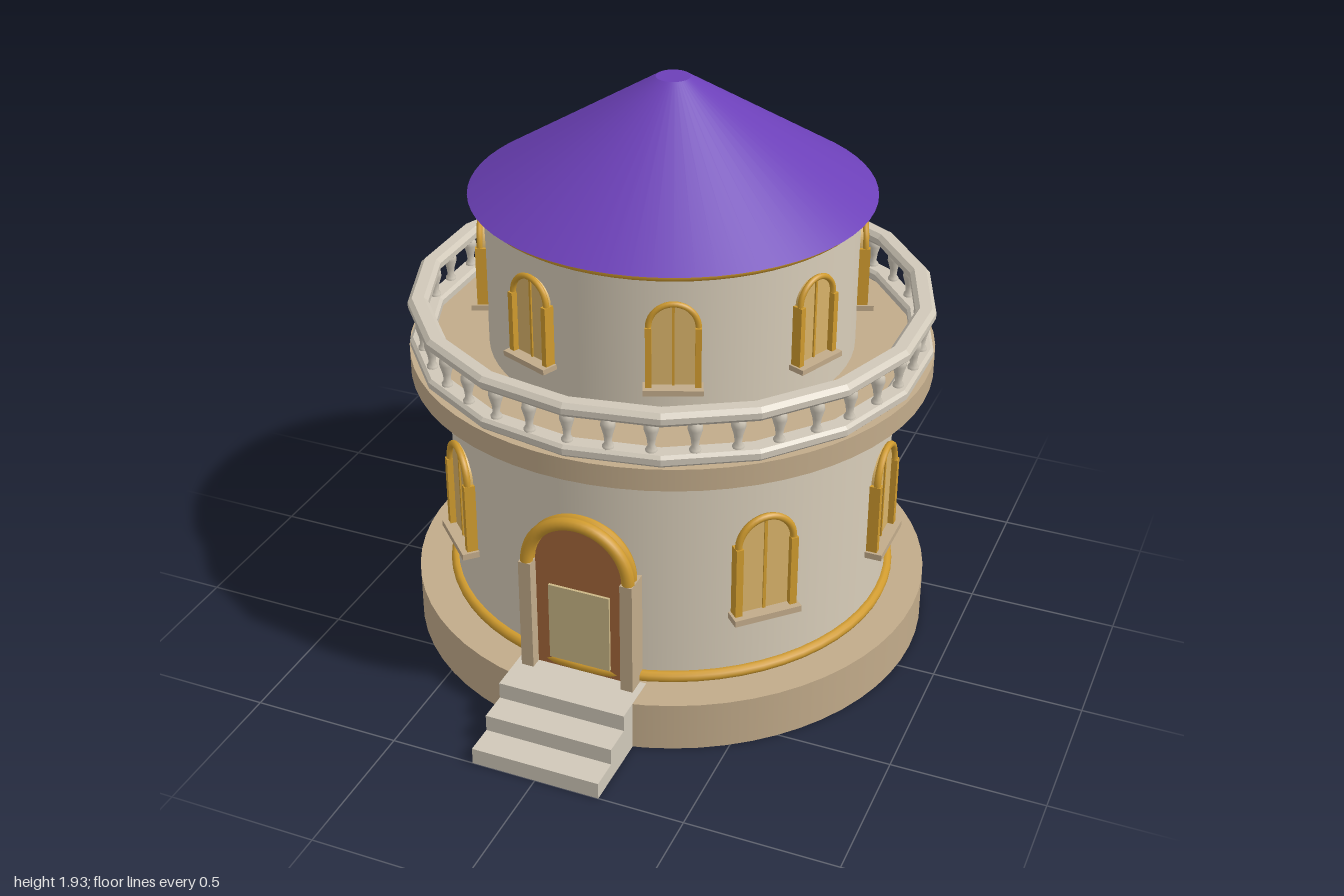
import * as THREE from 'three';

const mat = (name, color) => {
  const m = new THREE.MeshStandardMaterial({ color });
  m.name = name;
  return m;
};

export function createModel() {
  const wall = mat('cream wall', 0xd8cdb9);
  const sand = mat('sandstone', 0xc2ab8a);
  const stone = mat('pale stone', 0xd0c8b9);
  const gold = mat('gold trim', 0xd09b2e);
  const glass = mat('amber glass', 0xd9b36a);
  const purple = mat('purple roof', 0x6c40b8);
  const brown = mat('door wood', 0xa5683a);
  const panelTan = mat('door panel', 0xcbb786);

  const model = new THREE.Group();
  model.name = 'roundTower';
  const tower = new THREE.Group();
  tower.name = 'tower';
  tower.position.z = -0.12;
  model.add(tower);

  const add = (parent, name, geo, material, x = 0, y = 0, z = 0) => {
    const m = new THREE.Mesh(geo, material);
    m.name = name;
    m.position.set(x, y, z);
    parent.add(m);
    return m;
  };
  const box = (parent, name, w, h, d, material, x, y, z) =>
    add(parent, name, new THREE.BoxGeometry(w, h, d), material, x, y, z);
  const drum = (name, rTop, rBottom, y0, y1, material) =>
    add(tower, name, new THREE.CylinderGeometry(rTop, rBottom, y1 - y0, 64), material, 0, (y0 + y1) / 2, 0);
  const ring = (name, r, tube, y) => {
    add(tower, name, new THREE.TorusGeometry(r, tube, 10, 64), gold, 0, y, 0).rotation.x = Math.PI / 2;
  };

  // Stacked round body
  drum('plinth', 0.88, 0.88, 0, 0.17, sand);
  drum('lowerWall', 0.745, 0.745, 0.17, 0.96, wall);
  drum('balconySlab', 0.867, 0.867, 0.96, 1.035, sand);
  drum('upperWall', 0.605, 0.605, 1.035, 1.56, wall);
  drum('roof', 0.055, 0.656, 1.56, 1.935, purple);
  ring('baseRing', 0.752, 0.019, 0.188);
  ring('corniceRing', 0.752, 0.018, 0.943);
  ring('eaveRing', 0.617, 0.019, 1.55);

  // Balcony rails: 18-sided rings with a chamfered section
  const rail = (name, y0, y1, rIn, rOut, c) => {
    const pts = [[rIn + c, y0], [rOut - c, y0], [rOut, y0 + c], [rOut, y1 - c],
      [rOut - c, y1], [rIn + c, y1], [rIn, y1 - c], [rIn, y0 + c], [rIn + c, y0]]
      .map(([x, y]) => new THREE.Vector2(x, y));
    const geo = new THREE.LatheGeometry(pts, 18).toNonIndexed();
    geo.computeVertexNormals();
    add(tower, name, geo, stone);
  };
  rail('bottomRail', 1.035, 1.075, 0.795, 0.864, 0.01);
  rail('topRail', 1.17, 1.217, 0.797, 0.864, 0.014);

  // Balusters
  const balusterGeo = new THREE.LatheGeometry(
    [[0.018, 0], [0.018, 0.01], [0.011, 0.02], [0.014, 0.045], [0.023, 0.075], [0.022, 0.09], [0.017, 0.1]]
      .map(([x, y]) => new THREE.Vector2(x, y)), 10);
  for (let i = 0; i < 40; i++) {
    const a = (i / 40) * Math.PI * 2;
    add(tower, 'baluster', balusterGeo, stone, Math.sin(a) * 0.825, 1.073, Math.cos(a) * 0.825);
  }

  // Arched window: w is half width, s is the springing height above the sill
  const addWindow = (angle, wallR, sillY, k) => {
    const g = new THREE.Group();
    g.name = 'window';
    g.rotation.y = angle;
    g.position.y = sillY;
    tower.add(g);
    const w = 0.094 * k, s = 0.25 * k, t = 0.024 * k;
    const pane = new THREE.Shape();
    pane.moveTo(-w, 0);
    pane.lineTo(w, 0);
    pane.lineTo(w, s);
    pane.absarc(0, s, w, 0, Math.PI, false);
    pane.closePath();
    add(g, 'pane', new THREE.ExtrudeGeometry(pane, { depth: 0.03, bevelEnabled: false, curveSegments: 16 }),
      glass, 0, 0, wallR - 0.022);
    for (const side of [-1, 1]) box(g, 'jamb', t, s, 0.065, gold, side * w, s / 2, wallR - 0.004);
    add(g, 'arch', new THREE.TorusGeometry(w, t / 2, 8, 20, Math.PI), gold, 0, s, wallR + 0.014);
    box(g, 'mullion', 0.01 * k, s + w * 0.9, 0.012, gold, 0, (s + w * 0.9) / 2, wallR + 0.007);
    box(g, 'sill', 0.23 * k, 0.022 * k, 0.07, sand, 0, -0.011 * k, wallR + 0.013);
  };
  for (let i = 1; i < 8; i++) addWindow(i * Math.PI / 4, 0.745, 0.42, 1);
  for (let i = 0; i < 8; i++) addWindow((i + 0.5) * Math.PI / 4, 0.605, 1.18, 0.8);

  // Doorway
  const door = new THREE.Group();
  door.name = 'doorway';
  model.add(door);
  box(door, 'doorLeaf', 0.31, 0.4, 0.06, brown, 0, 0.37, 0.61);
  add(door, 'doorTop', new THREE.CylinderGeometry(0.152, 0.152, 0.07, 32), brown, 0, 0.57, 0.61)
    .rotation.x = Math.PI / 2;
  box(door, 'doorPanel', 0.21, 0.28, 0.009, panelTan, 0, 0.35, 0.65);
  for (const side of [-1, 1]) box(door, 'doorPost', 0.042, 0.4, 0.1, sand, side * 0.174, 0.37, 0.63);
  add(door, 'doorArch', new THREE.TorusGeometry(0.174, 0.021, 10, 28, Math.PI), gold, 0, 0.57, 0.66);
  // Short reveal closing the arch back to the curved wall
  add(door, 'doorArchReveal', new THREE.TorusGeometry(0.172, 0.02, 8, 28, Math.PI), gold, 0, 0.57, 0.63);

  // Front steps
  for (let i = 0; i < 3; i++) {
    const front = 1 - i * 0.1;
    box(model, 'step', 0.434, 0.057, front - 0.62, stone, 0, 0.0285 + i * 0.057, (front + 0.62) / 2);
  }
  return model;
}
